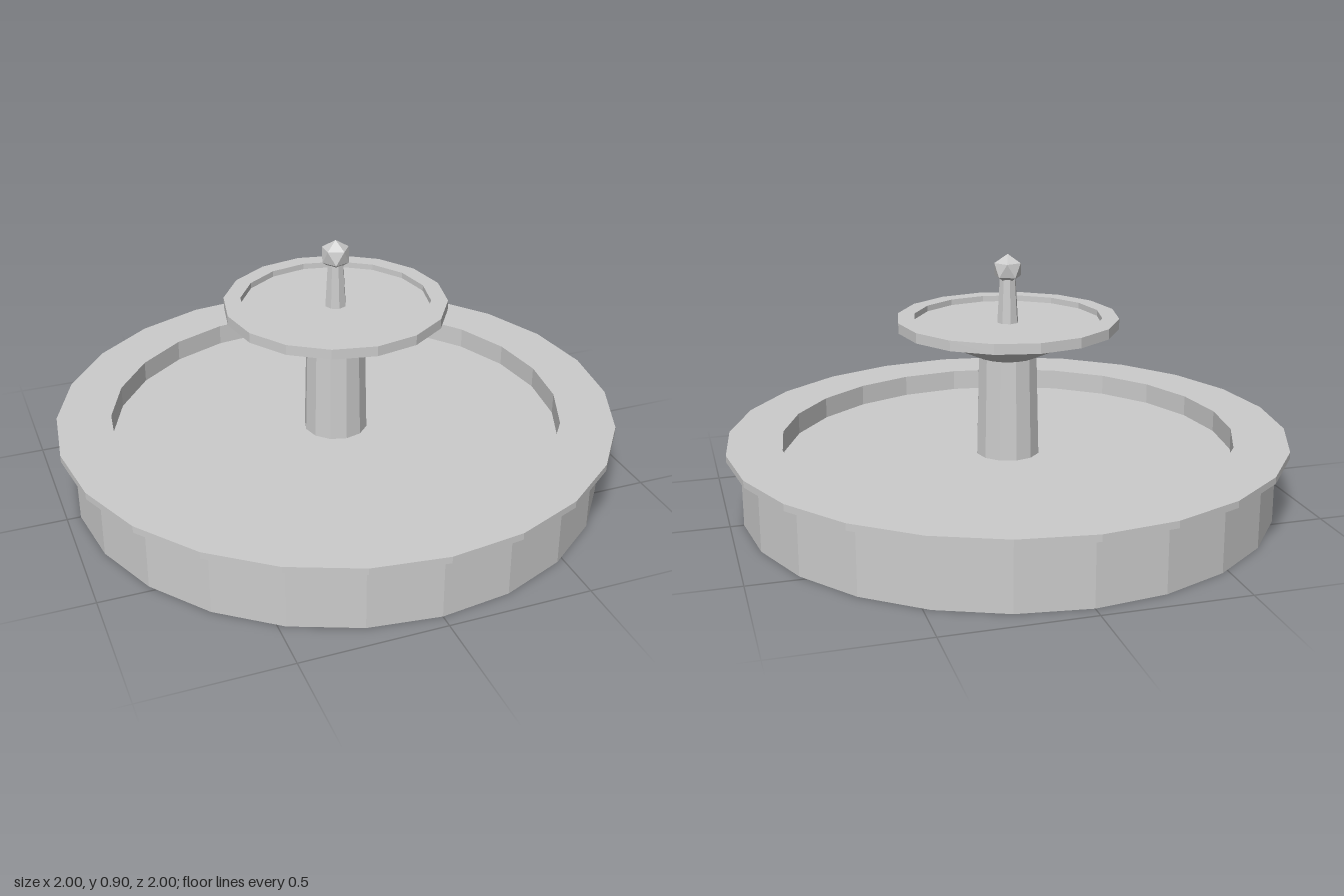
import * as THREE from 'three';

export function createModel() {
  const group = new THREE.Group();
  group.name = 'fountain';
  const stone = new THREE.MeshStandardMaterial({ color: 0xcccccc, flatShading: true });
  stone.name = 'grey stone';

  function add(name, geometry) {
    const mesh = new THREE.Mesh(geometry, stone);
    mesh.name = name;
    group.add(mesh);
    return mesh;
  }

  // Faceted turned part; profile is [radius, height], running up the outside first
  function turned(name, sides, profile) {
    const points = profile.map(([r, y]) => new THREE.Vector2(r, y));
    return add(name, new THREE.LatheGeometry(points, sides).toNonIndexed());
  }

  // Lower basin: closed base and wall, overhanging rim, water level
  turned('basinWall', 24, [[0, 0], [0.952, 0], [0.952, 0.236]]);
  turned('basinRim', 24, [[0.952, 0.236], [1, 0.236], [1, 0.26], [0.807, 0.26], [0.807, 0.236]]);
  turned('basinInside', 24, [[0.807, 0.236], [0.807, 0.183]]);
  turned('basinWater', 24, [[0.807, 0.183], [0, 0.183]]);

  // Column carrying the upper bowl
  turned('column', 12, [[0.114, 0.183], [0.105, 0.545]]);

  // Upper bowl: flared underside, rim, water level
  turned('bowlUnderside', 16, [[0, 0.543], [0.107, 0.543], [0.333, 0.647]]);
  turned('bowlRim', 16, [[0.333, 0.647], [0.392, 0.647], [0.392, 0.683], [0.333, 0.683], [0.333, 0.662]]);
  turned('bowlWater', 16, [[0.333, 0.662], [0, 0.662]]);

  // Spout and faceted finial standing on one corner
  turned('spout', 8, [[0.038, 0.662], [0.028, 0.832], [0, 0.832]]);
  const finial = new THREE.IcosahedronGeometry(0.054, 0);
  finial.rotateZ(-Math.atan(2 / (1 + Math.sqrt(5))));
  add('finial', finial).position.y = 0.851;

  return group;
}
